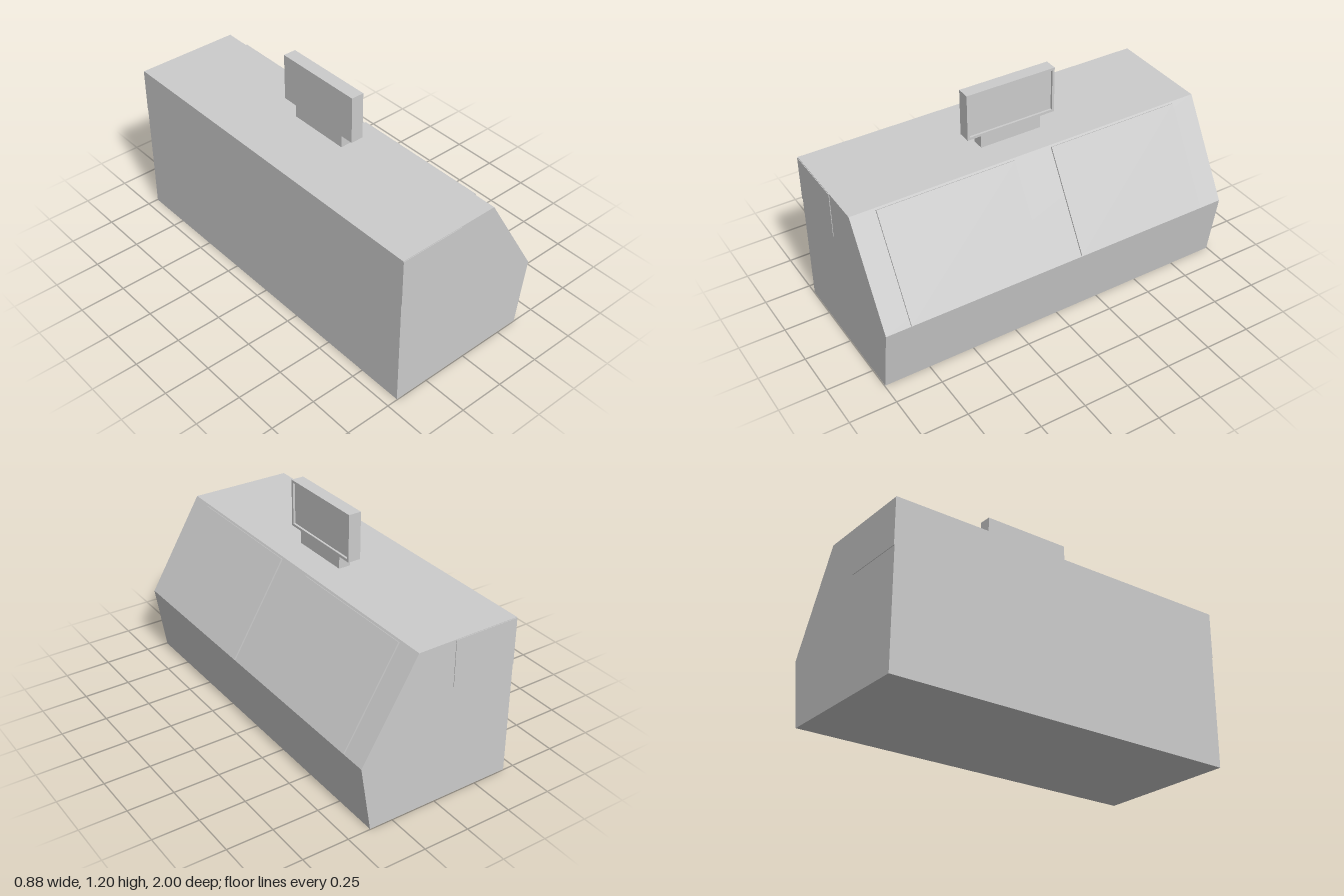
import * as THREE from 'three';

const material = new THREE.MeshStandardMaterial({ color: 0xcccccc, flatShading: true });

function add(group, name, geometry) {
  const mesh = new THREE.Mesh(geometry, material);
  mesh.name = name;
  group.add(mesh);
  return mesh;
}

// Box given by its limits on each axis
function box(x0, x1, y0, y1, z0, z1) {
  return new THREE.BoxGeometry(x1 - x0, y1 - y0, z1 - z0)
    .translate((x0 + x1) / 2, (y0 + y1) / 2, (z0 + z1) / 2);
}

// Profile in the xy plane, extruded from z0 to z1
function prism(points, z0, z1) {
  const shape = new THREE.Shape(points.map(([x, y]) => new THREE.Vector2(x, y)));
  return new THREE.ExtrudeGeometry(shape, { depth: z1 - z0, bevelEnabled: false }).translate(0, 0, z0);
}

function rectangle(Type, x0, x1, y0, y1) {
  return new Type([[x0, y0], [x1, y0], [x1, y1], [x0, y1]].map(([x, y]) => new THREE.Vector2(x, y)));
}

export function createModel() {
  const model = new THREE.Group();
  model.name = 'counter';

  // Cabinet with a sloping upper front and a receding base
  add(model, 'cabinet', prism(
    [[-0.44, 0], [0.375, 0], [0.432, 0.365], [0.13, 0.872], [-0.44, 0.872]], -0.997, 0.997));

  // Two thin panels lying on the slope
  const slopePanel = [[0.135, 0.862], [0.43, 0.368], [0.437, 0.372], [0.143, 0.866]];
  add(model, 'leftSlopePanel', prism(slopePanel, -0.863, -0.107));
  add(model, 'rightSlopePanel', prism(slopePanel, 0.107, 0.863));

  // Thin panels at the top back corner of both ends
  for (const side of [-1, 1]) {
    const z = side * 0.9975;
    add(model, 'endPanel', box(-0.44, -0.08, 0.62, 0.869, z - 0.0025, z + 0.0025));
  }

  // Display: stand, housing, and a raised bezel round the recessed screen
  const display = new THREE.Group();
  display.name = 'display';
  model.add(display);
  add(display, 'stand', box(-0.095, -0.031, 0.87, 0.942, -0.15, 0.195));
  add(display, 'housing', box(-0.098, -0.04, 0.942, 1.197, -0.232, 0.272));

  const bezel = rectangle(THREE.Shape, -0.272, 0.232, 0.942, 1.197);
  bezel.holes.push(rectangle(THREE.Path, -0.259, 0.219, 0.956, 1.184));
  add(display, 'bezel', new THREE.ExtrudeGeometry(bezel, { depth: 0.012, bevelEnabled: false })
    .rotateY(Math.PI / 2).translate(-0.04, 0, 0));

  return model;
}
